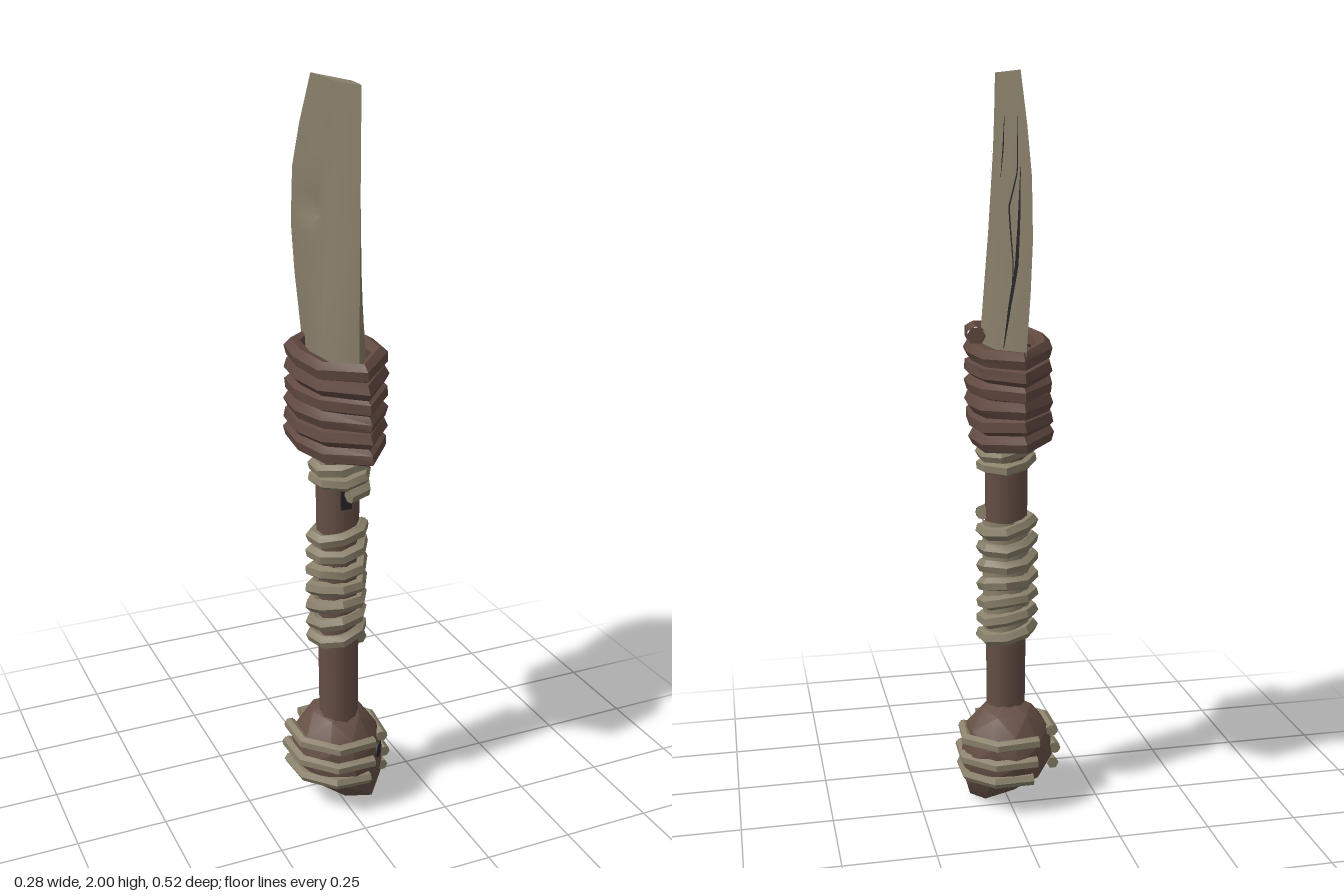
import * as THREE from 'three';
import { mergeGeometries, toCreasedNormals } from 'three/addons/utils/BufferGeometryUtils.js';

const mat = (name, color, side = THREE.FrontSide) => {
  const m = new THREE.MeshStandardMaterial({ color, side });
  m.name = name;
  return m;
};

// Blade outline: back edge and half thickness by height
const backEdge = [[1.2, -0.17], [1.32, -0.195], [1.47, -0.237], [1.6, -0.26], [1.75, -0.247], [1.87, -0.195], [2, -0.12]];
const thickness = [[1.2, 0.07], [1.32, 0.064], [1.6, 0.041], [1.8, 0.028], [2, 0.02]];
const FRONT = 0.184, RIDGE = 0.085;

function lookup(table, y) {
  for (let i = 1; i < table.length; i++) {
    const [y0, a] = table[i - 1], [y1, b] = table[i];
    if (y <= y1) return a + (b - a) * (y - y0) / (y1 - y0);
  }
  return table[table.length - 1][1];
}

// Half thickness of the blade at a point of its side
function bladeX(y, z) {
  const w = lookup(thickness, y), zb = lookup(backEdge, y);
  return z > RIDGE
    ? w * Math.pow(Math.max(0, (FRONT - z) / (FRONT - RIDGE)), 0.75)
    : w * Math.pow(Math.max(0, (z - zb) / (RIDGE - zb)), 1.1);
}

function bladeGeometry() {
  const heights = [1.2, 1.32, 1.4, 1.47, 1.54, 1.6, 1.64, 1.66, 1.7, 1.75, 1.81, 1.87, 1.94, 2];
  const n = 12, ring = n * 2, pos = [], idx = [];
  for (const y of heights) {
    const zb = lookup(backEdge, y);
    for (let j = 0; j < ring; j++) {
      const right = j <= n, k = right ? j : ring - j;
      const z = k <= 4 ? FRONT + (RIDGE - FRONT) * k / 4 : RIDGE + (zb - RIDGE) * (k - 4) / (n - 4);
      let x = bladeX(y, z);
      // Chip in the other side, near the cutting edge
      if (!right && z < -0.04 && y > 1.65 && y < 1.72) x *= y < 1.68 ? 0.5 : 0.75;
      pos.push(right ? x : -x, y, z);
    }
  }
  const last = (heights.length - 1) * ring;
  for (let i = 0; i < last; i += ring) {
    for (let j = 0; j < ring; j++) {
      const a = i + j, b = i + (j + 1) % ring;
      idx.push(a, b, b + ring, a, b + ring, a + ring);
    }
  }
  pos.push(0, 2, 0.05);
  for (let j = 0; j < ring; j++) idx.push(last + ring, last + j, last + (j + 1) % ring);
  const g = new THREE.BufferGeometry();
  g.setAttribute('position', new THREE.Float32BufferAttribute(pos, 3));
  g.setIndex(idx);
  return toCreasedNormals(g, 0.6);
}

// Thin strip laid on the blade along [z, y] points, tapering at both ends
function crackGeometry(points, width) {
  const curve = new THREE.CurvePath();
  for (let i = 1; i < points.length; i++) {
    curve.add(new THREE.LineCurve(new THREE.Vector2(...points[i - 1]), new THREE.Vector2(...points[i])));
  }
  const steps = 20, pos = [], idx = [];
  for (let i = 0; i <= steps; i++) {
    const p = curve.getPoint(i / steps);
    const w = width * (0.15 + 0.85 * Math.sin(Math.PI * i / steps)) / 2;
    for (const z of [p.x + w, p.x - w]) pos.push(bladeX(p.y, z) + 0.003, p.y, z);
    if (i < steps) idx.push(2 * i, 2 * i + 1, 2 * i + 2, 2 * i + 1, 2 * i + 3, 2 * i + 2);
  }
  const g = new THREE.BufferGeometry();
  g.setAttribute('position', new THREE.Float32BufferAttribute(pos, 3));
  g.setIndex(idx);
  g.computeVertexNormals();
  return g;
}

// Faceted cord wound around an upright oval, with closed ends
function cordGeometry({ from, to, y0, y1, rx, rz, z, r, wobble = 0 }) {
  const count = Math.max(3, Math.round(Math.abs(to - from) / (Math.PI / 4)));
  const pts = [];
  for (let i = 0; i <= count; i++) {
    const t = i / count, a = from + (to - from) * t, s = 1 + wobble * Math.sin(i * 2.3);
    pts.push(new THREE.Vector3(rx * s * Math.cos(a), y0 + (y1 - y0) * t + wobble * 0.1 * Math.sin(i * 1.7), z + rz * s * Math.sin(a)));
  }
  const curve = new THREE.CatmullRomCurve3(pts);
  const parts = [new THREE.TubeGeometry(curve, count, r, 6)];
  for (const [u, sign] of [[0, -1], [1, 1]]) {
    const p = curve.getPointAt(u), o = new THREE.Object3D();
    o.position.copy(p);
    o.lookAt(p.clone().addScaledVector(curve.getTangentAt(u), sign));
    o.updateMatrix();
    parts.push(new THREE.CircleGeometry(r, 6).applyMatrix4(o.matrix));
  }
  return toCreasedNormals(mergeGeometries(parts), 0.7);
}

export function createModel() {
  const model = new THREE.Group();
  model.name = 'boneKnife';
  const bone = mat('bone', 0x887e69);
  const wood = mat('wood', 0x654f45);
  const leather = mat('leather', 0x614941);
  const cord = mat('cord', 0x8a816b, THREE.DoubleSide);
  const dark = mat('crack', 0x27272b, THREE.DoubleSide);
  const add = (name, geometry, material) => {
    const m = new THREE.Mesh(geometry, material);
    m.name = name;
    model.add(m);
    return m;
  };
  const TAU = Math.PI * 2, deg = Math.PI / 180;

  // Blade and its cracks
  add('blade', bladeGeometry(), bone);
  const cracks = [
    [0.024, [[-0.164, 1.77], [-0.16, 1.62], [-0.148, 1.53], [-0.1, 1.42], [-0.063, 1.31]]],
    [0.012, [[-0.12, 1.89], [-0.14, 1.76], [-0.08, 1.67], [-0.125, 1.53], [-0.112, 1.45]]],
    [0.01, [[-0.012, 1.89], [-0.012, 1.82], [-0.003, 1.74]]],
    [0.006, [[0.088, 1.81], [0.086, 1.73]]],
  ];
  for (const [width, points] of cracks) add('bladeCrack', crackGeometry(points, width), dark);

  // Handle, leaning slightly back towards the blade
  const handle = add('handle', new THREE.CylinderGeometry(0.06, 0.054, 0.95, 10), wood);
  handle.position.set(0, 0.72, 0.057);
  handle.rotation.x = -0.017;
  const split = add('handleCrack', new THREE.BoxGeometry(0.03, 0.06, 0.008), dark);
  split.position.set(0, 0.94, 0.11);

  // Leather binding around the blade root
  const socket = add('bladeSocket', new THREE.CylinderGeometry(0.075, 0.06, 0.2, 12), leather);
  socket.scale.z = 2.35;
  socket.position.set(0, 1.18, 0.03);
  add('leatherBinding', cordGeometry({ from: 0, to: TAU * 6, y0: 1.33, y1: 1.065, rx: 0.085, rz: 0.203, z: 0.03, r: 0.026, wobble: 0.035 }), leather);

  // Cords on the handle
  add('upperCord', cordGeometry({ from: 0.4, to: 0.4 + TAU * 2.2, y0: 1.04, y1: 0.96, rx: 0.065, rz: 0.073, z: 0.066, r: 0.019, wobble: 0.05 }), cord);
  add('gripCord', cordGeometry({ from: 0.2, to: 0.2 + TAU * 7, y0: 0.84, y1: 0.49, rx: 0.067, rz: 0.065, z: 0.052, r: 0.02, wobble: 0.05 }), cord);
  const sleeve = add('gripCordBacking', new THREE.CylinderGeometry(0.065, 0.065, 0.32, 8, 1, true, 75 * deg, 210 * deg), cord);
  sleeve.position.set(0, 0.665, 0.054);

  // Rough pommel with an off-centre point underneath
  const ball = new THREE.IcosahedronGeometry(1, 1);
  const p = ball.attributes.position;
  for (let i = 0; i < p.count; i++) {
    const x = p.getX(i), y = p.getY(i), z = p.getZ(i), low = Math.max(0, -y - 0.3);
    p.setXYZ(i, x * 0.132 + low * 0.06, y * 0.15 + x * low * -0.06, z * 0.135 + low * 0.05);
  }
  ball.computeBoundingBox();
  ball.translate(0, -ball.boundingBox.min.y, 0.045);
  add('pommel', toCreasedNormals(ball, 0.5), wood);

  // Pommel cords in two halves, leaving gaps on opposite corners
  [0.21, 0.155, 0.105].forEach((y, i) => {
    const r = i === 1 ? 0.136 : 0.13;
    for (const [a, b, tilt] of [[60, 208, 0.01], [240, 394, -0.012]]) {
      add('pommelCord', cordGeometry({ from: (a + i * 4) * deg, to: (b - i * 3) * deg, y0: y, y1: y + tilt, rx: r, rz: r, z: 0.047, r: 0.017, wobble: 0.03 }), cord);
    }
  });

  // Dark chip in the pommel
  const chip = add('pommelChip', new THREE.CylinderGeometry(0.026, 0.026, 0.009, 5), dark);
  chip.rotation.set(90 * deg, 0, -48 * deg, 'YXZ');
  chip.rotation.set(90 * deg, 48 * deg, 0, 'YXZ');
  chip.position.set(0.125 * Math.sin(48 * deg), 0.16, 0.045 + 0.125 * Math.cos(48 * deg));

  return model;
}
